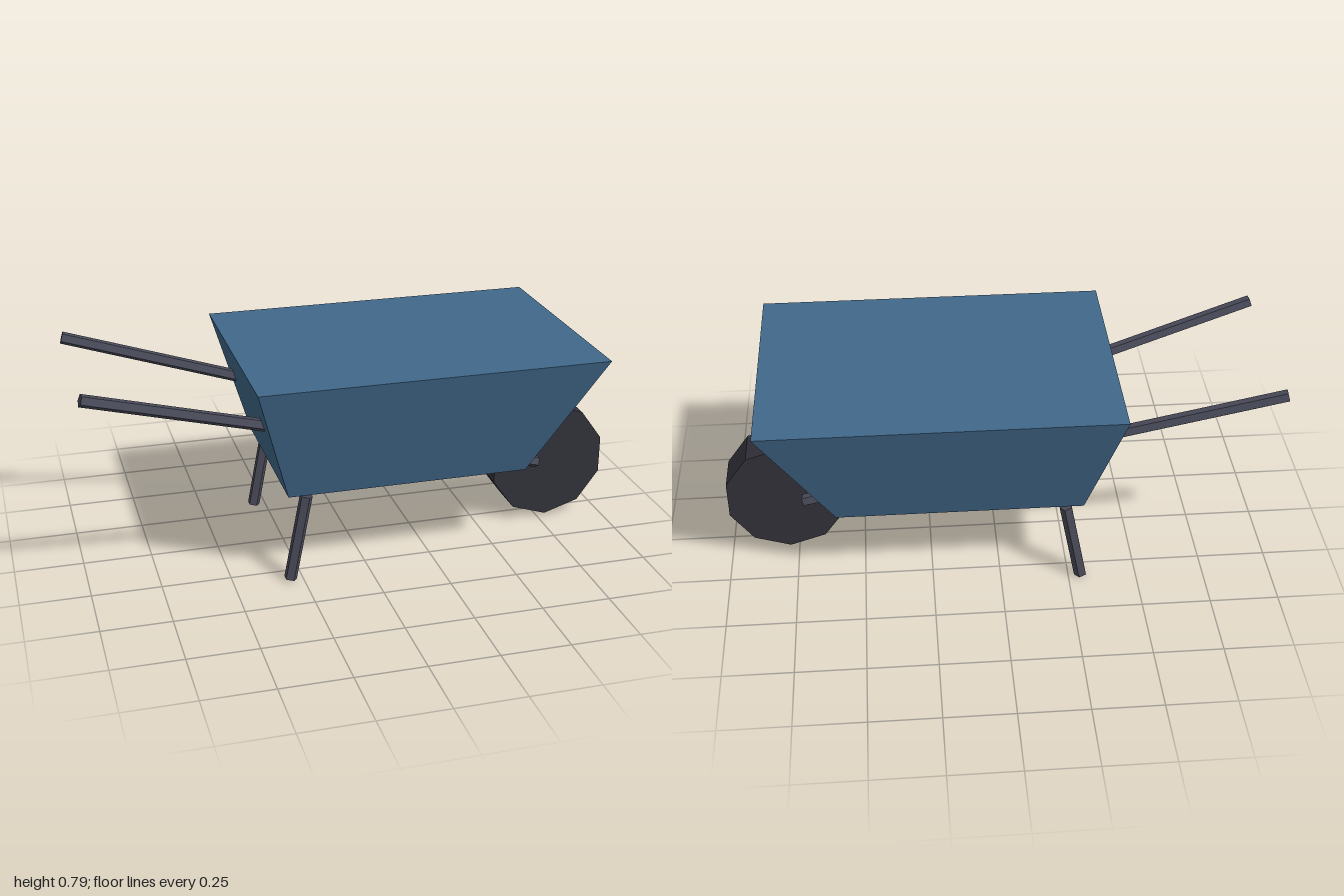
import * as THREE from 'three';

function flat(name, color) {
  const m = new THREE.MeshStandardMaterial({ color, flatShading: true });
  m.name = name;
  return m;
}

// Five-sided rod from a to b, with one ridge turned towards the given direction
function rod(name, a, b, ridge, radius, material) {
  const axis = b.clone().sub(a);
  const length = axis.length();
  axis.normalize();
  const z = ridge.clone().addScaledVector(axis, -ridge.dot(axis)).normalize();
  const x = new THREE.Vector3().crossVectors(axis, z);
  const mesh = new THREE.Mesh(new THREE.CylinderGeometry(radius, radius, length, 5), material);
  mesh.quaternion.setFromRotationMatrix(new THREE.Matrix4().makeBasis(x, axis, z));
  mesh.position.copy(a).add(b).multiplyScalar(0.5);
  mesh.name = name;
  return mesh;
}

export function createModel() {
  const group = new THREE.Group();
  group.name = 'wheelbarrow';
  const blue = flat('blue tray paint', 0x41688a);
  const grey = flat('grey frame', 0x4a4b5a);
  const dark = flat('dark tyre', 0x32313a);

  // Tray: a box flared towards the top, with a long sloping nose
  const trayGeo = new THREE.BoxGeometry(1, 1, 1);
  const p = trayGeo.attributes.position;
  for (let i = 0; i < p.count; i++) {
    const top = p.getY(i) > 0;
    const nose = p.getX(i) > 0;
    const x = nose ? (top ? 0.843 : 0.59) : (top ? -0.424 : -0.298);
    p.setXYZ(i, x, top ? 0.768 : 0.326, Math.sign(p.getZ(i)) * (top ? 0.442 : 0.317));
  }
  trayGeo.computeVertexNormals();
  const tray = new THREE.Mesh(trayGeo, blue);
  tray.name = 'tray';
  group.add(tray);

  // Ten-sided wheel
  const wheel = new THREE.Mesh(new THREE.CylinderGeometry(0.227, 0.227, 0.15, 10), dark);
  wheel.rotation.x = Math.PI / 2;
  wheel.position.set(0.782, 0.236, 0);
  wheel.name = 'wheel';
  group.add(wheel);

  // Mirrored handles, running under the tray to the wheel, and legs
  const down = new THREE.Vector3(0, -1, 0);
  const forward = new THREE.Vector3(1, 0, 0);
  for (const s of [1, -1]) {
    const side = s > 0 ? 'front' : 'back';
    group.add(rod(side + 'Handle',
      new THREE.Vector3(-0.994, 0.768, s * 0.318),
      new THREE.Vector3(0.714, 0.262, s * 0.128), down, 0.0235, grey));
    group.add(rod(side + 'Leg',
      new THREE.Vector3(-0.296, 0.005, s * 0.317),
      new THREE.Vector3(-0.234, 0.326, s * 0.317), forward, 0.024, grey));
  }
  return group;
}
